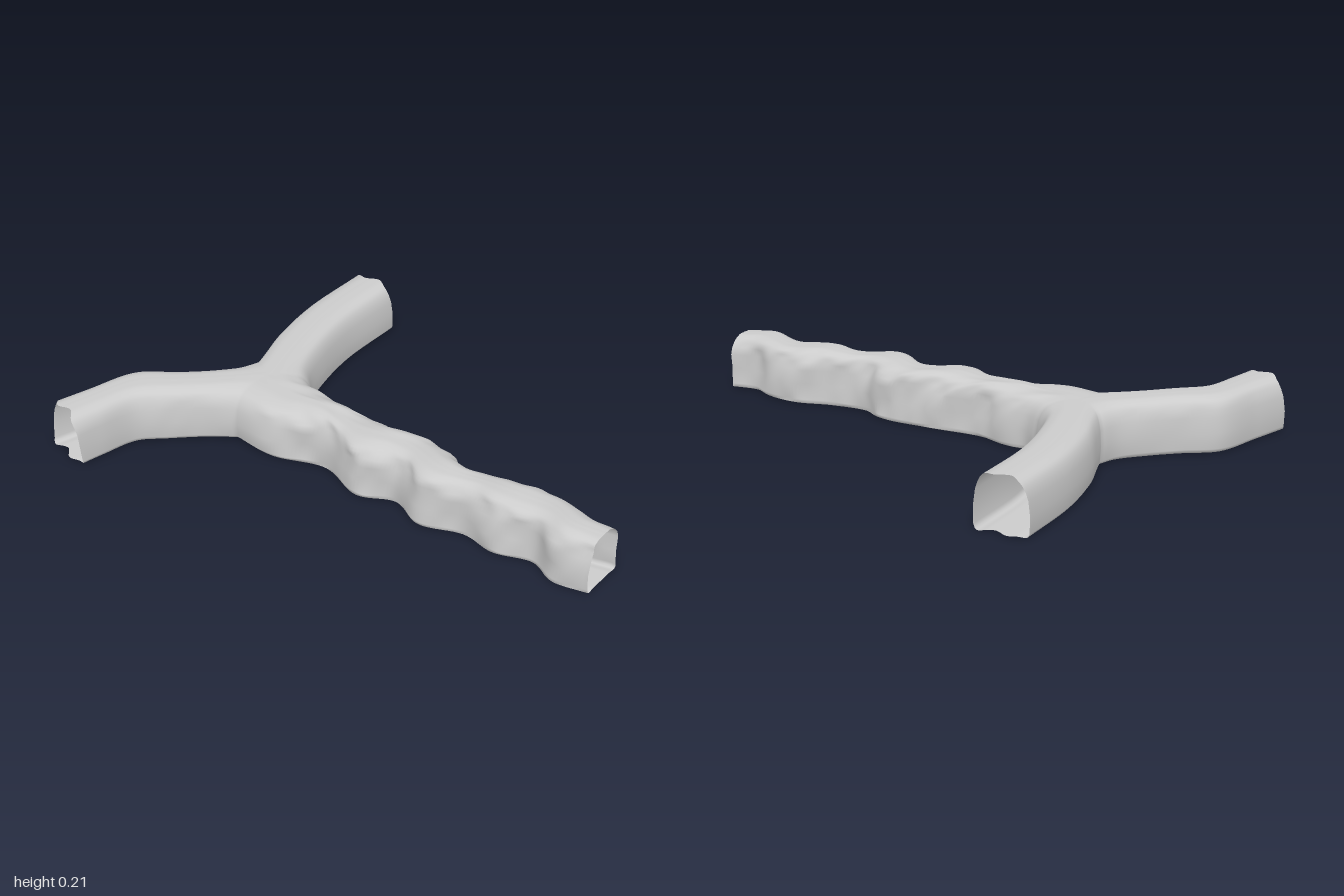
import * as THREE from 'three';
import { mergeGeometries, mergeVertices } from 'three/addons/utils/BufferGeometryUtils.js';

// Half cross-section from floor centre, up the wall, to roof centre: [share of half-width, height]
const PROFILE = [[0, 0.005], [0.5, 0.005], [0.86, 0.005], [0.97, 0.024], [1, 0.08],
  [0.96, 0.13], [0.82, 0.175], [0.5, 0.198], [0, 0.203]];
const half = new THREE.CatmullRomCurve3(PROFILE.map(([s, y]) => new THREE.Vector3(s, y, 0)), false, 'centripetal')
  .getSpacedPoints(28);
// Whole ring: floor centre, left wall, roof, right wall, floor centre
const RING = [
  ...half.map((p) => [-p.x, p.y]),
  ...half.slice(0, -1).reverse().map((p) => [p.x, p.y]),
];

// Plan outlines [x, z] run from each mouth to the corners shared at the junction
const CENTRE = new THREE.Vector3(-0.08, 0, -0.47);
const LEFT_CORNER = [-0.25, -0.48], CROTCH = [0.01, -0.59], RIGHT_CORNER = [0.03, -0.345];

const BRANCHES = [
  { // rough main passage
    steps: 110, rough: 1, ragged: 0,
    a: [[-0.225, 1], [-0.245, 0.87], [-0.2, 0.77], [-0.24, 0.63], [-0.215, 0.5], [-0.265, 0.34], [-0.21, 0.21],
      [-0.265, 0.08], [-0.2, -0.1], [-0.265, -0.3], LEFT_CORNER],
    b: [[-0.03, 1], [-0.045, 0.9], [-0.01, 0.82], [0.005, 0.69], [-0.04, 0.56], [-0.05, 0.42], [-0.01, 0.34],
      [-0.005, 0.16], [-0.03, -0.05], [0.01, -0.19], [0.0, -0.28], RIGHT_CORNER],
  },
  { // back passage curving to the model's right
    steps: 48, rough: 0.22, ragged: 0.012,
    a: [[-0.64, -1], [-0.5, -0.955], [-0.32, -0.895], [-0.24, -0.79], [-0.16, -0.7], [-0.07, -0.62], CROTCH],
    b: [[-0.7, -0.805], [-0.61, -0.785], [-0.48, -0.75], [-0.41, -0.68], [-0.32, -0.58], LEFT_CORNER],
  },
  { // smooth side passage to the model's left
    steps: 48, rough: 0, ragged: 0.01,
    a: [[0.69, -0.475], [0.42, -0.475], [0.24, -0.445], [0.1, -0.4], RIGHT_CORNER],
    b: [[0.69, -0.68], [0.4, -0.68], [0.2, -0.65], [0.08, -0.612], CROTCH],
  },
];

const outline = (pts) => new THREE.CatmullRomCurve3(pts.map(([x, z]) => new THREE.Vector3(x, 0, z)), false, 'centripetal');

// Layered waves that stand in for uneven rock, between -1 and 1
const rock = (z, y, side) =>
  0.5 * Math.sin(z * 17 + y * 36 + side * 2) + 0.3 * Math.sin(z * 33 - y * 52 + side * 4)
  + 0.2 * Math.sin(z * 61 + y * 70 + side);

// Loft the ring between two outlines; the last ring folds at the junction centre
function branchGeometry({ steps, rough, ragged, a, b }) {
  const left = outline(a), right = outline(b);
  const pos = [], index = [], n = RING.length;
  const heading = left.getTangentAt(0).add(right.getTangentAt(0)).normalize();
  for (let i = 0; i <= steps; i++) {
    const t = i / steps;
    const L = left.getPointAt(t), R = right.getPointAt(t);
    const M = L.clone().add(R).multiplyScalar(0.5).lerp(CENTRE, t ** 4);
    const amount = rough * (1 - THREE.MathUtils.smoothstep(t, 0.78, 1));
    RING.forEach(([s, y], j) => {
      const side = Math.sign(s);
      const wave = rock(M.z, y, side);
      const wall = THREE.MathUtils.smoothstep(y, 0.005, 0.03);
      const reach = Math.abs(s) * (1 - amount * 0.13 * (1 + wave) * wall);
      const p = M.clone().lerp(s < 0 ? L : R, reach);
      // ragged lip at the open mouth
      p.addScaledVector(heading, ragged * Math.sin((j / (n - 1)) * Math.PI * 8) * (1 - t) ** 16);
      const roof = amount * 0.004 * Math.sin(M.z * 23) * THREE.MathUtils.smoothstep(y, 0.12, 0.2);
      pos.push(p.x, y + roof, p.z);
      if (i < steps && j < n - 1) {
        const q = i * n + j;
        index.push(q, q + 1, q + n, q + 1, q + n + 1, q + n);
      }
    });
  }
  const g = new THREE.BufferGeometry();
  g.setAttribute('position', new THREE.Float32BufferAttribute(pos, 3));
  g.setIndex(index);
  return g;
}

export function createModel() {
  const model = new THREE.Group();
  model.name = 'forkedTunnel';
  // Weld the three passages so shading runs smoothly through the fork
  const geometry = mergeVertices(mergeGeometries(BRANCHES.map(branchGeometry)), 1e-4);
  geometry.computeVertexNormals();
  const shell = new THREE.Mesh(geometry, new THREE.MeshStandardMaterial({ color: 0xcccccc, side: THREE.DoubleSide }));
  shell.name = 'tunnelShell';
  model.add(shell);
  return model;
}
